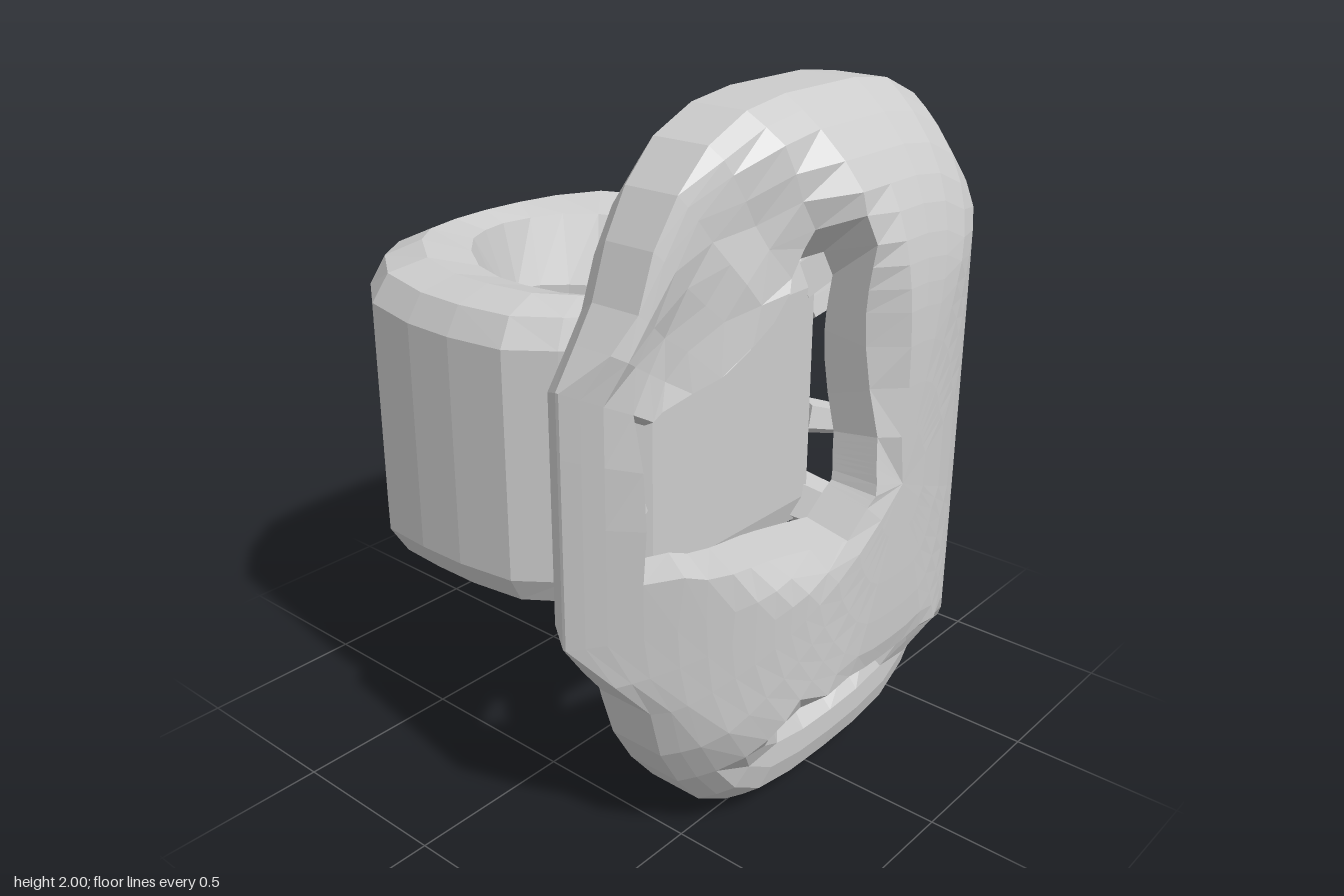
import * as THREE from 'three';

const grey = () => new THREE.MeshStandardMaterial({ color: 0xcccccc, flatShading: true, side: THREE.DoubleSide });

// Piecewise-linear lookup in a short list of [input, output] pairs
function lookup(table, v) {
  for (let i = 1; i < table.length; i++) {
    const [x0, y0] = table[i - 1], [x1, y1] = table[i];
    if (v <= x1) return y0 + (y1 - y0) * Math.max(0, (v - x0) / (x1 - x0));
  }
  return table[table.length - 1][1];
}

const gap = (p, q) => Math.hypot(p[0] - q[0], p[1] - q[1], p[2] - q[2]);

// Each quad is split along its shorter diagonal
function meshFromQuads(name, quads) {
  const pos = [];
  for (const [a, b, c, d] of quads) {
    if (gap(a, c) <= gap(b, d)) pos.push(...a, ...b, ...c, ...a, ...c, ...d);
    else pos.push(...a, ...b, ...d, ...b, ...c, ...d);
  }
  const g = new THREE.BufferGeometry();
  g.setAttribute('position', new THREE.Float32BufferAttribute(pos, 3));
  g.computeVertexNormals();
  const mesh = new THREE.Mesh(g, grey());
  mesh.name = name;
  return mesh;
}

// Half of a closed path, mirrored in x to the full loop
const mirrorLoop = half => [...half, ...half.slice(1, -1).reverse().map(([x, y]) => [-x, y])];

// Openings in the mask, as seen from the front: eye, side slot, mouth
const holes = [
  [[-.08, 1.73], [-.18, 1.72], [-.3, 1.5], [-.45, 1.37], [-.62, 1.28], [-.67, 1.2], [-.67, .97],
    [-.6, .88], [-.4, .9], [-.2, .9], [-.1, 1], [-.07, 1.15]],
  [[.62, .85], [.62, 1.36], [.71, 1.36], [.73, 1.2], [.73, .95], [.69, .85]],
  [[-.21, .4], [.2, .4], [.2, .32], [.1, .27], [-.1, .27], [-.21, .32]],
];

function inside(poly, x, y) {
  let hit = false;
  poly.forEach(([ax, ay], i) => {
    const [bx, by] = poly[(i + 1) % poly.length];
    if ((ay > y) !== (by > y) && x < ax + (bx - ax) * (y - ay) / (by - ay)) hit = !hit;
  });
  return hit;
}

// Pull a point that lies close to an opening onto its edge
function snap(x, y) {
  let best = [x, y], dist = .046;
  for (const poly of holes) poly.forEach(([ax, ay], i) => {
    const [bx, by] = poly[(i + 1) % poly.length];
    const dx = bx - ax, dy = by - ay;
    const t = Math.min(1, Math.max(0, ((x - ax) * dx + (y - ay) * dy) / (dx * dx + dy * dy)));
    const p = [ax + dx * t, ay + dy * t], d = Math.hypot(p[0] - x, p[1] - y);
    if (d < dist) { dist = d; best = p; }
  });
  return best;
}

// Smooth elliptical hollow, 1 in the middle and 0 at its edge
const hollow = (x, y, cx, cy, rx, ry) => Math.max(0, 1 - ((x - cx) / rx) ** 2 - ((y - cy) / ry) ** 2);

// Depth of the mask face: rounded across, domed at the edge, stepped back at the jaw,
// hollowed around the eye and the mouth
function depth(x, y, s) {
  const across = 1 - (Math.abs(x) / .79) ** 2.7;
  const dome = 1 - .66 * s ** 5;
  const jaw = lookup([[0, .6], [.25, .6], [.35, .74], [.47, .95], [.55, 1]], y);
  const eye = Math.min(1, 1.6 * hollow(x, y, -.35, 1.36, .35, .56)) * lookup([[.85, .08], [1.5, .16]], y);
  return .36 + .47 * Math.min(across, dome, jaw) - eye - .12 * hollow(x, y, -.02, .35, .38, .12);
}

// Hollow mask: outer face, rim and inner face in one run of rows
function createMask() {
  const outline = mirrorLoop([[0, 0], [.17, .005], [.33, .03], [.45, .1], [.54, .21], [.61, .33], [.65, .48],
    [.72, .57], [.79, .67], [.79, .85], [.79, 1.02], [.79, 1.2], [.79, 1.37], [.72, 1.47], [.66, 1.56],
    [.61, 1.7], [.54, 1.82], [.44, 1.92], [.3, 1.98], [.15, 2], [0, 2]]);
  const scales = [0, .14, .27, .38, .47, .53, .59, .65, .72, .785, .855, .925, .965, 1];
  const n = outline.length, m = scales.length;
  const outer = scales.map(s => outline.map(([ox, oy]) => {
    let x = ox * s, y = 1 + (oy - 1) * s;
    if (s > 0 && s < 1) [x, y] = snap(x, y);
    return [x, y, depth(x, y, s)];
  }));
  outer.push(outline.map(([x, y]) => [x, y, .35]));
  const lip = outline.map(([x, y]) => [x * .945, 1 + (y - 1) * .92, .28]);
  const inner = outer.map(row => row.map(([x, y, z]) => [x * .92, 1 + (y - 1) * .84, .32 + (z - .36) * .77]));
  const rows = [...outer, lip, ...inner.slice().reverse()];
  const last = rows.length - 1;

  const open = (i, j) => {
    if (i < 0 || i >= m - 1) return false;
    const k = (j + 1) % n;
    const c = [outer[i][j], outer[i + 1][j], outer[i + 1][k], outer[i][k]];
    const mean = a => c.reduce((t, p) => t + p[a], 0) / 4;
    return holes.some(h => inside(h, mean(0), mean(1)));
  };
  const quads = [];
  for (let i = 0; i < last; i++) for (let j = 0; j < n; j++) {
    const k = (j + 1) % n;
    if (!open(i, j) && !open(last - 1 - i, j)) quads.push([rows[i][j], rows[i + 1][j], rows[i + 1][k], rows[i][k]]);
    if (!open(i, j)) continue;
    // Walls through the thickness around each opening
    const edges = [[i - 1, j, i, j, i, k], [i + 1, j, i + 1, k, i + 1, j],
      [i, (j + n - 1) % n, i + 1, j, i, j], [i, k, i, k, i + 1, k]];
    for (const [ni, nj, a, b, c, d] of edges)
      if (!open(ni, nj)) quads.push([outer[a][b], outer[c][d], inner[c][d], inner[a][b]]);
  }
  return meshFromQuads('mask', quads);
}

// Thick finger band: one rounded section swept between an outer and an inner path
function createBand() {
  const outer = mirrorLoop([[0, -.83], [.18, -.83], [.35, -.81], [.5, -.7], [.62, -.54], [.645, -.36], [.645, -.2],
    [.62, -.02], [.53, .1], [.43, .21], [.36, .275], [0, .275]]);
  const inner = mirrorLoop([[0, -.61], [.07, -.58], [.14, -.52], [.2, -.45], [.25, -.36], [.275, -.27], [.28, -.18],
    [.265, -.08], [.235, .01], [.17, .08], [.08, .095], [0, .1]]);
  const half = [[0, 0], [0, .34], [.12, .42], [.4, .455], [.76, .42], [1, .22], [1, 0]];
  const section = [...half, ...half.slice(1, -1).reverse().map(([k, h]) => [k, -h])];
  const loops = outer.map(([ox, oz], j) => section.map(([k, h]) => {
    const z = oz + (inner[j][1] - oz) * k;
    const swell = 1 + .05 * Math.max(0, 1 - Math.abs(z + .58) / .25);
    return [ox + (inner[j][0] - ox) * k, 1 + h * swell, z];
  }));
  const quads = [], p = section.length;
  loops.forEach((a, j) => {
    const b = loops[(j + 1) % loops.length];
    for (let i = 0; i < p; i++) quads.push([a[i], a[(i + 1) % p], b[(i + 1) % p], b[i]]);
  });
  return meshFromQuads('ringBand', quads);
}

// Short tapered link between band and mask rim
function createStrut(from, to, r0, r1) {
  const a = new THREE.Vector3(...from), b = new THREE.Vector3(...to), dir = b.clone().sub(a);
  const mesh = new THREE.Mesh(new THREE.CylinderGeometry(r1, r0, dir.length(), 5), grey());
  mesh.position.copy(a).add(b).multiplyScalar(.5);
  mesh.quaternion.setFromUnitVectors(new THREE.Vector3(0, 1, 0), dir.normalize());
  mesh.name = 'strut';
  return mesh;
}

export function createModel() {
  const model = new THREE.Group();
  model.name = 'maskRing';
  model.add(createMask(), createBand());
  for (const side of [-1, 1]) {
    // Corner links above and below, thinner ones beside the band
    for (const up of [-1, 1])
      model.add(createStrut([.35 * side, 1 + .35 * up, .2], [.57 * side, 1 + .5 * up, .33], .09, .08));
    model.add(createStrut([.4 * side, 1.25, .22], [.66 * side, 1.36, .33], .05, .04));
    model.add(createStrut([.4 * side, .9, .22], [.65 * side, .82, .33], .06, .04));
  }
  return model;
}
